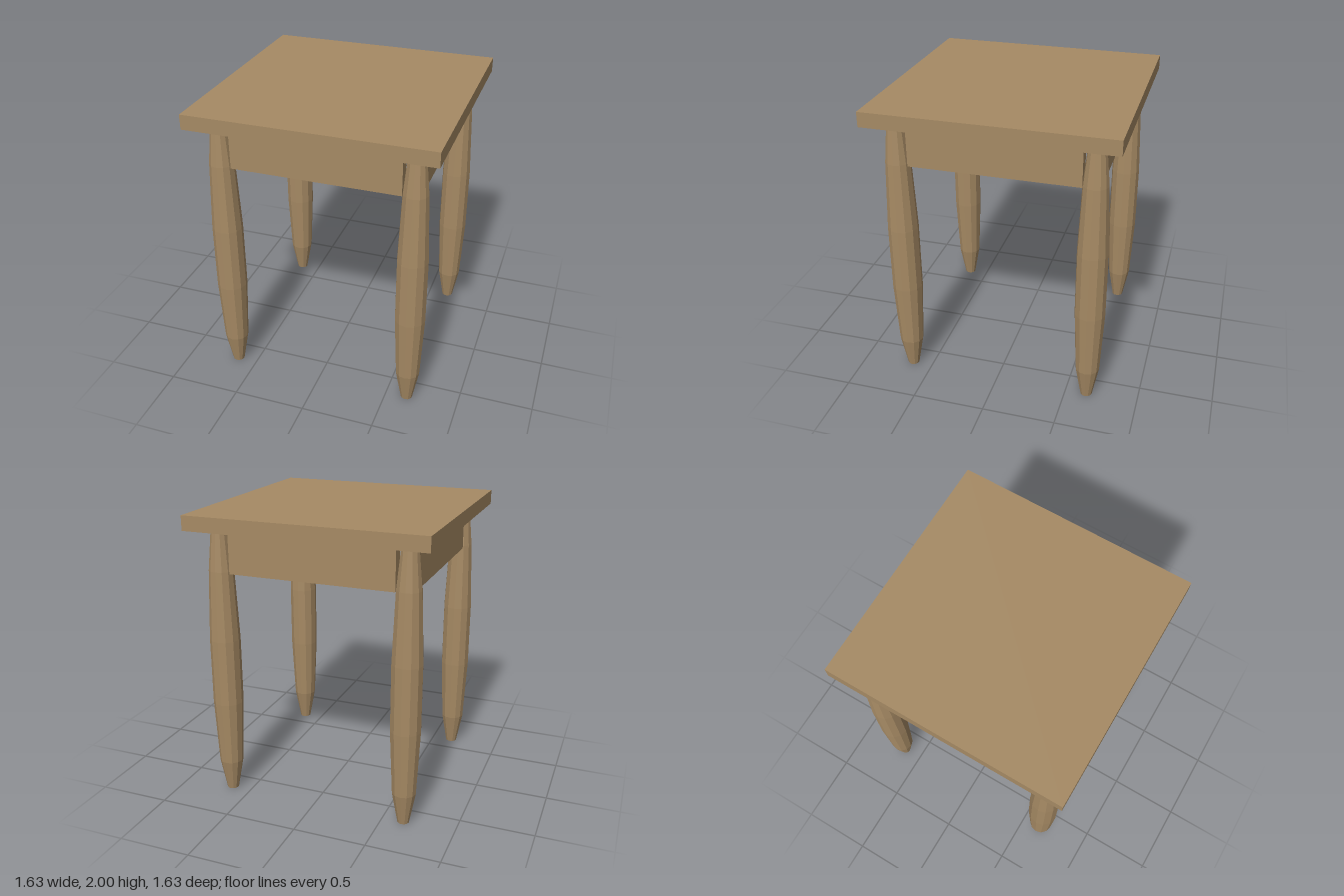
import * as THREE from 'three';

export function createModel() {
  const model = new THREE.Group();
  model.name = 'stool';

  const wood = new THREE.MeshStandardMaterial({ color: 0xa68a64, flatShading: true });
  wood.name = 'wood';

  const add = (name, geometry, x, y, z, turn = 0) => {
    const mesh = new THREE.Mesh(geometry, wood);
    mesh.name = name;
    mesh.position.set(x, y, z);
    mesh.rotation.y = turn;
    model.add(mesh);
  };

  // Square seat slab
  add('seat', new THREE.BoxGeometry(1.635, 0.1, 1.635), 0, 1.95, 0);

  // Turned, faceted legs: radius and height from foot to seat
  const profile = [
    [0, 0], [0.04, 0], [0.082, 0.225], [0.103, 0.68],
    [0.103, 1.14], [0.083, 1.62], [0.055, 1.9], [0, 1.9],
  ].map(([r, y]) => new THREE.Vector2(r, y));
  const legGeometry = new THREE.LatheGeometry(profile, 12);
  const legOffset = 0.645;
  for (const [end, sz] of [['front', 1], ['back', -1]]) {
    for (const [side, sx] of [['Left', 1], ['Right', -1]]) {
      add(`${end}${side}Leg`, legGeometry, sx * legOffset, 0, sz * legOffset);
    }
  }

  // Four apron boards under the seat, running between the legs
  const apronGeometry = new THREE.BoxGeometry(1.135, 0.3, 0.075);
  ['front', 'left', 'back', 'right'].forEach((side, i) => {
    const a = (i * Math.PI) / 2;
    add(`${side}Apron`, apronGeometry, Math.sin(a) * 0.643, 1.755, Math.cos(a) * 0.643, a);
  });

  return model;
}
